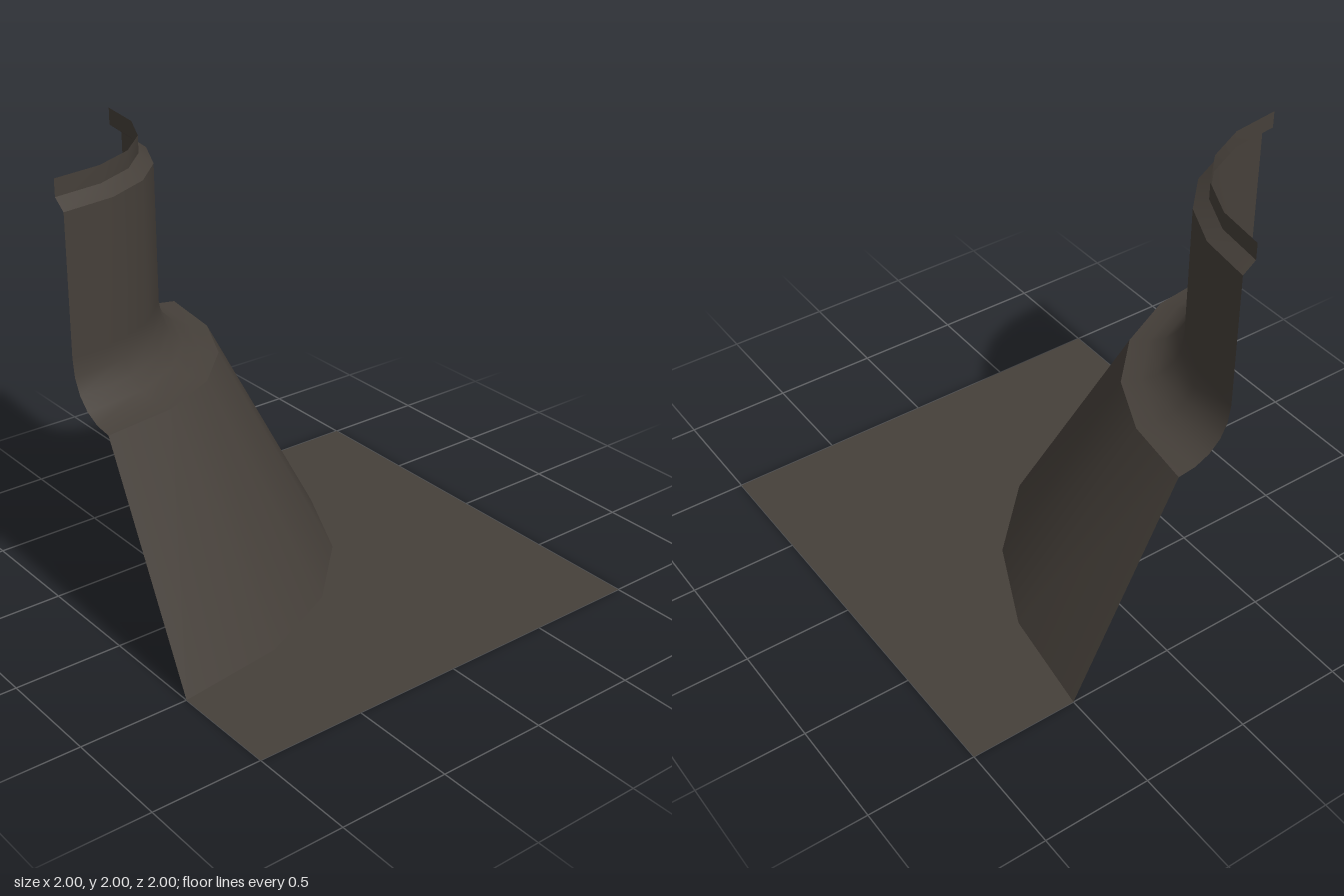
import * as THREE from 'three';

const STEPS = 5;

// Rounded quarter turn from (0, 1) to (1, 0), shared by the plan and the neck fillet
const quarter = new THREE.CubicBezierCurve(
  new THREE.Vector2(0, 1), new THREE.Vector2(0.6, 1),
  new THREE.Vector2(1, 0.6), new THREE.Vector2(1, 0)
).getPoints(STEPS);

// Sweeps a [radius, height] profile (bottom to top) around the corner at x = -1, z = 1
function sweep(profile) {
  const positions = [], indices = [], row = quarter.length;
  for (const [r, y] of profile) {
    for (const q of quarter) positions.push(-1 + r * q.x, y, 1 - r * q.y);
  }
  for (let i = 0; i < profile.length - 1; i++) {
    for (let j = 0; j < row - 1; j++) {
      const a = i * row + j, b = a + row;
      indices.push(a, b, a + 1, b, b + 1, a + 1);
    }
  }
  const geometry = new THREE.BufferGeometry();
  geometry.setAttribute('position', new THREE.Float32BufferAttribute(positions, 3));
  geometry.setIndex(indices);
  geometry.computeVertexNormals();
  return geometry;
}

export function createModel() {
  const group = new THREE.Group();
  group.name = 'curvedCornerTrim';
  const stone = new THREE.MeshStandardMaterial({ color: 0x46403a, side: THREE.DoubleSide });
  stone.name = 'darkStone';

  const add = (name, geometry) => {
    const mesh = new THREE.Mesh(geometry, stone);
    mesh.name = name;
    group.add(mesh);
    return mesh;
  };

  // Flat ground plate with the rounded corner cut away
  const outline = quarter.map(q => new THREE.Vector2(-1 + 1.5 * q.x, -1 + 1.5 * q.y));
  outline.push(new THREE.Vector2(1, -1), new THREE.Vector2(1, 1), new THREE.Vector2(-1, 1));
  add('groundPlate', new THREE.ShapeGeometry(new THREE.Shape(outline))).rotation.x = -Math.PI / 2;

  // Sloping skirt
  add('slopedSkirt', sweep([[1.5, 0], [1, 1]]));

  // Concave fillet running smoothly into the upright wall
  const fillet = quarter.map(q => [1 - 0.25 * q.x, 1.25 - 0.25 * q.y]);
  add('neckWall', sweep([...fillet, [0.75, 1.877]]));

  // Bevel and set-back rim
  add('rimBevel', sweep([[0.75, 1.877], [0.69, 1.923]]));
  add('rim', sweep([[0.69, 1.923], [0.69, 2]]));

  return group;
}
